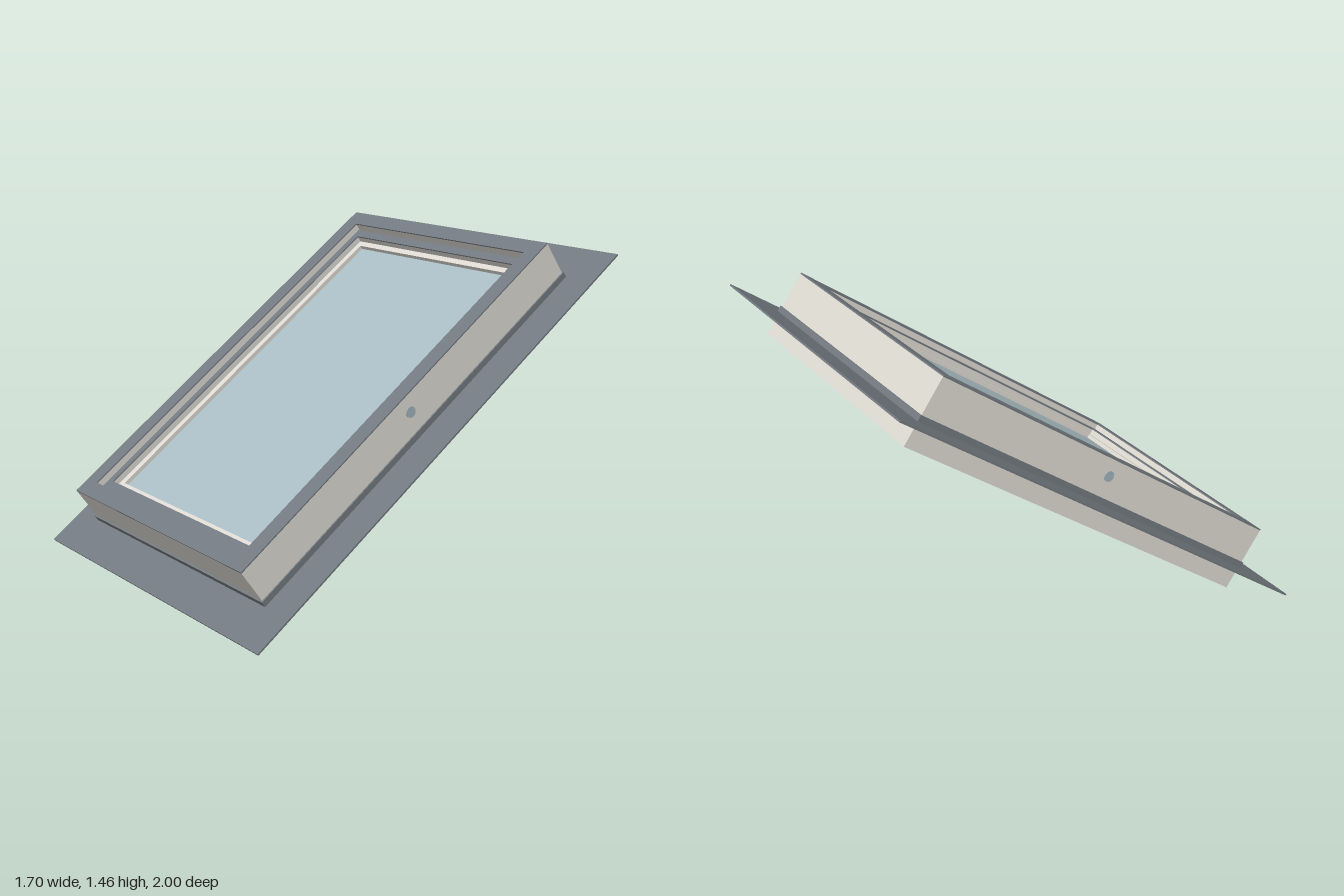
import * as THREE from 'three';

const cream = new THREE.MeshStandardMaterial({ color: 0xdedad2 });
cream.name = 'creamWood';
const cladding = new THREE.MeshStandardMaterial({ color: 0x737980 });
cladding.name = 'greyCladding';
const glass = new THREE.MeshStandardMaterial({ color: 0xa8bcc3 });
glass.name = 'paleGlass';
const metal = new THREE.MeshStandardMaterial({ color: 0x9fb3ba });
metal.name = 'blueGreyMetal';

function rectangle(Type, hx, hz) {
  const path = new Type();
  path.moveTo(-hx, -hz);
  path.lineTo(hx, -hz);
  path.lineTo(hx, hz);
  path.lineTo(-hx, hz);
  path.closePath();
  return path;
}

// Rectangular ring lying flat: outer and inner half sizes, from height y0 to y1
function ring(name, [ox, oz], [ix, iz], y0, y1, material) {
  const shape = rectangle(THREE.Shape, ox, oz);
  shape.holes.push(rectangle(THREE.Path, ix, iz));
  const geometry = new THREE.ExtrudeGeometry(shape, { depth: y1 - y0, bevelEnabled: false });
  geometry.rotateX(-Math.PI / 2);
  geometry.translate(0, y0, 0);
  const mesh = new THREE.Mesh(geometry, material);
  mesh.name = name;
  return mesh;
}

function rod(name, radius, length, axis, x, y, z) {
  const geometry = new THREE.CylinderGeometry(radius, radius, length, 20);
  if (axis === 'x') geometry.rotateZ(Math.PI / 2);
  if (axis === 'z') geometry.rotateX(Math.PI / 2);
  const mesh = new THREE.Mesh(geometry, metal);
  mesh.name = name;
  mesh.position.set(x, y, z);
  return mesh;
}

export function createModel() {
  const model = new THREE.Group();
  model.name = 'roofWindow';

  // Everything is built flat, then tilted to the roof pitch
  const tilted = new THREE.Group();
  tilted.name = 'tiltedWindow';
  tilted.rotation.x = Math.atan(0.7);
  tilted.position.y = 0.703;
  model.add(tilted);

  const frameOuter = [0.68, 1.024], frameInner = [0.6, 0.944];
  const sashOuter = [0.59, 0.934], sashStep = [0.555, 0.89], sashInner = [0.525, 0.86];

  tilted.add(
    // Roof flashing and its upstand around the frame
    ring('flashing', [0.85, 1.22], frameOuter, -0.004, 0.004, cladding),
    ring('flashingCollar', [0.687, 1.031], frameOuter, 0.003, 0.032, cladding),
    // Fixed frame with a thin metal cover
    ring('frame', frameOuter, frameInner, -0.11, 0.204, cream),
    ring('frameCladding', frameOuter, frameInner, 0.204, 0.21, cladding),
    // Pivoting sash with a stepped glazing rebate
    ring('sashRail', sashOuter, sashInner, 0.06, 0.145, cream),
    ring('sashRim', sashOuter, sashStep, 0.145, 0.172, cream),
    ring('sashCladding', sashOuter, sashStep, 0.172, 0.178, cladding)
  );

  // Glass pane
  const pane = new THREE.Mesh(new THREE.BoxGeometry(1.052, 0.02, 1.722), glass);
  pane.name = 'glassPane';
  pane.position.y = 0.115;
  tilted.add(pane);

  for (const side of [-1, 1]) {
    // Pivot pin through the frame
    tilted.add(rod('pivotPin', 0.025, 0.1, 'x', side * 0.635, 0.13, 0));

    // Small bar latch under the lower corner of the sash
    const latch = new THREE.Group();
    latch.name = 'latch';
    latch.add(rod('latchBar', 0.012, 0.13, 'z', side * 0.545, 0.035, 0.865));
    for (const z of [0.815, 0.915]) {
      latch.add(rod('latchPost', 0.015, 0.04, 'y', side * 0.545, 0.042, z));
    }
    tilted.add(latch);
  }
  return model;
}
